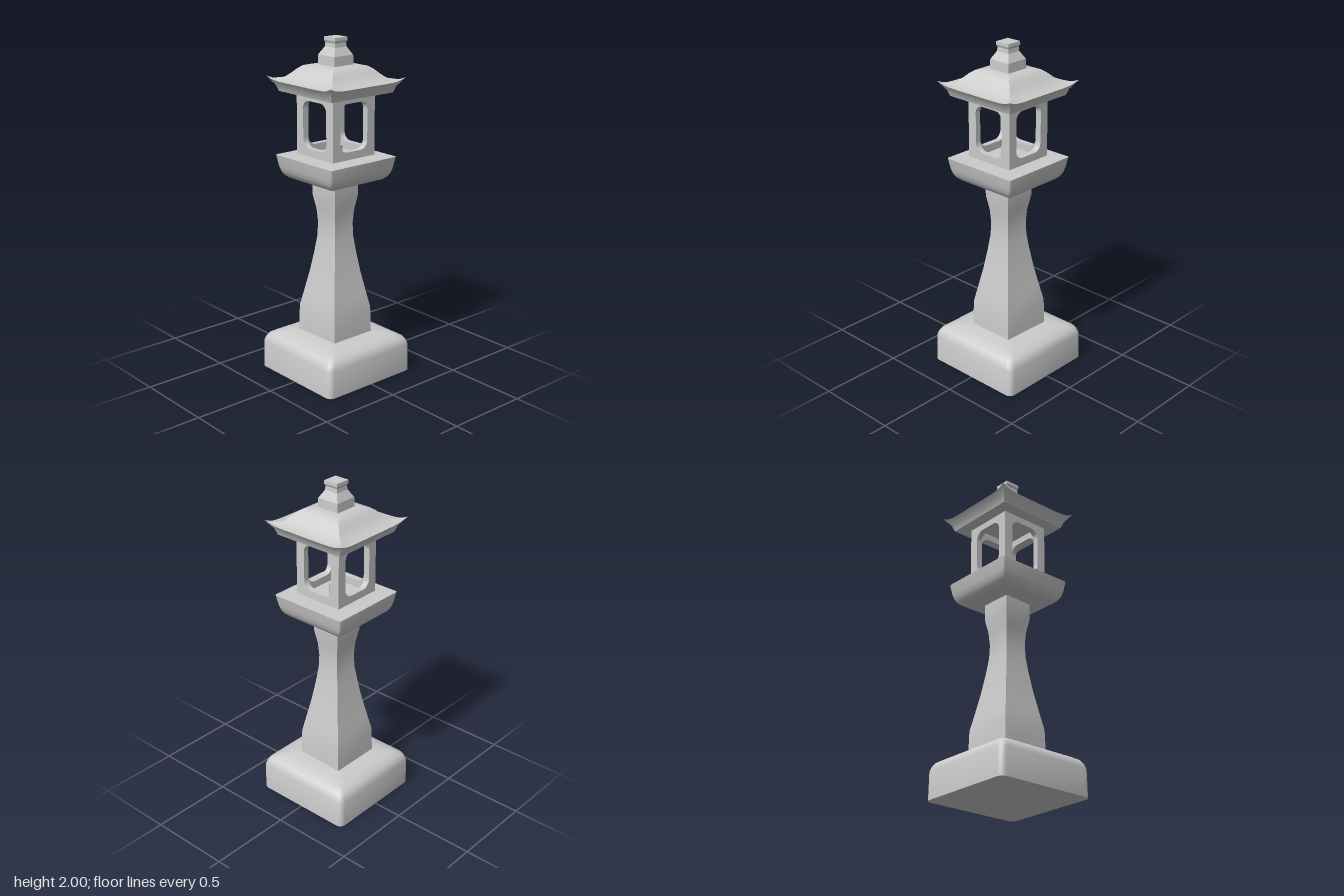
import * as THREE from 'three';
import { toCreasedNormals } from 'three/addons/utils/BufferGeometryUtils.js';

const stone = new THREE.MeshStandardMaterial({ color: 0xcccccc });

// Outline of a square with rounded corners, each side split into equal steps
function squareRing(half, radius, arc, steps) {
  const r = Math.min(radius, half), c = half - r, corners = [];
  for (let q = 0; q < 4; q++) {
    const centre = Math.PI / 4 + q * Math.PI / 2, pts = [];
    for (let i = 0; i <= arc; i++) {
      const a = centre + (arc ? i / arc - 0.5 : 0) * Math.PI / 2;
      const k = arc ? r : r * Math.SQRT2;
      pts.push([Math.sign(Math.cos(centre)) * c + k * Math.cos(a),
        Math.sign(Math.sin(centre)) * c + k * Math.sin(a)]);
    }
    corners.push(pts);
  }
  return corners.flatMap((pts, q) => {
    const a = pts[pts.length - 1], b = corners[(q + 1) % 4][0];
    const side = [];
    for (let i = 1; i < steps; i++) {
      const t = i / steps;
      side.push([a[0] + (b[0] - a[0]) * t, a[1] + (b[1] - a[1]) * t]);
    }
    return [...pts, ...side];
  });
}

// Closed square loft through [y, half width] levels, bottom to top
function squareLoft(levels, { radius = 0, arc = 0, steps = 1, crease = 0.6, bend } = {}) {
  const pos = [], index = [];
  const rings = levels.map(([y, half], level) =>
    squareRing(half, radius, arc, steps).map(([x, z]) => {
      const p = new THREE.Vector3(x, y, z);
      if (bend) bend(p, level, half);
      return p;
    }));
  const n = rings[0].length;
  rings.flat().forEach((p) => pos.push(p.x, p.y, p.z));
  for (let l = 0; l < rings.length - 1; l++) {
    for (let i = 0; i < n; i++) {
      const a = l * n + i, b = l * n + (i + 1) % n;
      index.push(a, a + n, b, b, a + n, b + n);
    }
  }
  // Flat caps
  const bottom = rings.length * n, last = (rings.length - 1) * n;
  pos.push(0, levels[0][0], 0, 0, levels[levels.length - 1][0], 0);
  for (let i = 0; i < n; i++) {
    const j = (i + 1) % n;
    index.push(bottom, i, j, bottom + 1, last + j, last + i);
  }
  const geo = new THREE.BufferGeometry();
  geo.setAttribute('position', new THREE.Float32BufferAttribute(pos, 3));
  geo.setIndex(index);
  return toCreasedNormals(geo.toNonIndexed(), crease);
}

// One side of the lamp box: a panel with a rounded window and mitred ends
function windowPanel(half, y0, y1, depth) {
  const shape = new THREE.Shape([[-half, y0], [half, y0], [half, y1], [-half, y1]]
    .map(([x, y]) => new THREE.Vector2(x, y)));
  const w = 0.1, lo = 1.375, hi = 1.65, r = 0.05;
  const hole = new THREE.Path();
  hole.absarc(w - r, hi - r, r, 0, Math.PI / 2);
  hole.absarc(-w + r, hi - r, r, Math.PI / 2, Math.PI);
  hole.absarc(-w + r, lo + r, r, Math.PI, Math.PI * 1.5);
  hole.absarc(w - r, lo + r, r, Math.PI * 1.5, Math.PI * 2);
  hole.closePath();
  shape.holes.push(hole);
  const geo = new THREE.ExtrudeGeometry(shape, { depth, bevelEnabled: false, curveSegments: 6 });
  geo.translate(0, 0, half - depth);
  const p = geo.attributes.position;
  for (let i = 0; i < p.count; i++) {
    const x = p.getX(i);
    if (Math.abs(x) > half - 0.001 && p.getZ(i) < half - 0.001) {
      p.setX(i, Math.sign(x) * (half - depth));
    }
  }
  return toCreasedNormals(geo, 0.6);
}

export function createModel() {
  const model = new THREE.Group();
  const add = (name, geo, parent = model) => {
    const mesh = new THREE.Mesh(geo, stone);
    mesh.name = name;
    parent.add(mesh);
    return mesh;
  };

  // Foot with softened edges
  add('base', squareLoft(
    [[0, 0.318], [0.165, 0.316], [0.19, 0.308], [0.212, 0.294], [0.23, 0.262], [0.245, 0.215]],
    { radius: 0.035, arc: 4, crease: 0.8 }));

  // Waisted pillar, slightly narrower across its front face
  add('pillar', squareLoft(
    [[0.24, 0.154], [0.4, 0.15], [0.5, 0.13], [0.62, 0.107], [0.74, 0.088], [0.84, 0.075],
      [0.92, 0.072], [1.0, 0.078], [1.09, 0.094], [1.185, 0.094]],
    { crease: 0.5, bend: (p) => { p.x *= p.z > 0 ? 0.94 : 1.02; } }));

  // Platform with a rounded underside
  add('platform', squareLoft(
    [[1.18, 0.17], [1.187, 0.195], [1.203, 0.214], [1.225, 0.226], [1.255, 0.235], [1.32, 0.246]],
    { radius: 0.012, arc: 2, crease: 0.8 }));

  // Open lamp box and the candle inside
  const lampBox = new THREE.Group();
  lampBox.name = 'lampBox';
  model.add(lampBox);
  const panel = windowPanel(0.156, 1.33, 1.69, 0.035);
  for (let i = 0; i < 4; i++) add('windowPanel', panel, lampBox).rotation.y = i * Math.PI / 2;
  add('candle', new THREE.CylinderGeometry(0.04, 0.04, 0.068, 16).translate(0, 1.352, 0));

  // Swept roof: the eaves flick up and out at the corners
  const lift = [0, 0.006, 0.023, 0.012, 0, 0, 0, 0, 0];
  add('roof', squareLoft(
    [[1.69, 0.227], [1.72, 0.238], [1.754, 0.269], [1.752, 0.253], [1.772, 0.203],
      [1.797, 0.175], [1.823, 0.15], [1.839, 0.128], [1.846, 0.1]],
    {
      steps: 16, crease: 0.7,
      bend: (p, level, half) => {
        const t = Math.pow(Math.min(Math.abs(p.x), Math.abs(p.z)) / half, 8);
        p.y += lift[level] * t;
        const out = 1 + lift[level] * t * 1.3;
        p.x *= out;
        p.z *= out;
      },
    }));

  // Stepped finial
  add('finial', squareLoft(
    [[1.84, 0.071], [1.9, 0.069], [1.945, 0.043], [1.968, 0.041], [1.982, 0.047], [2, 0.046]],
    { crease: 0.3 }));

  return model;
}
